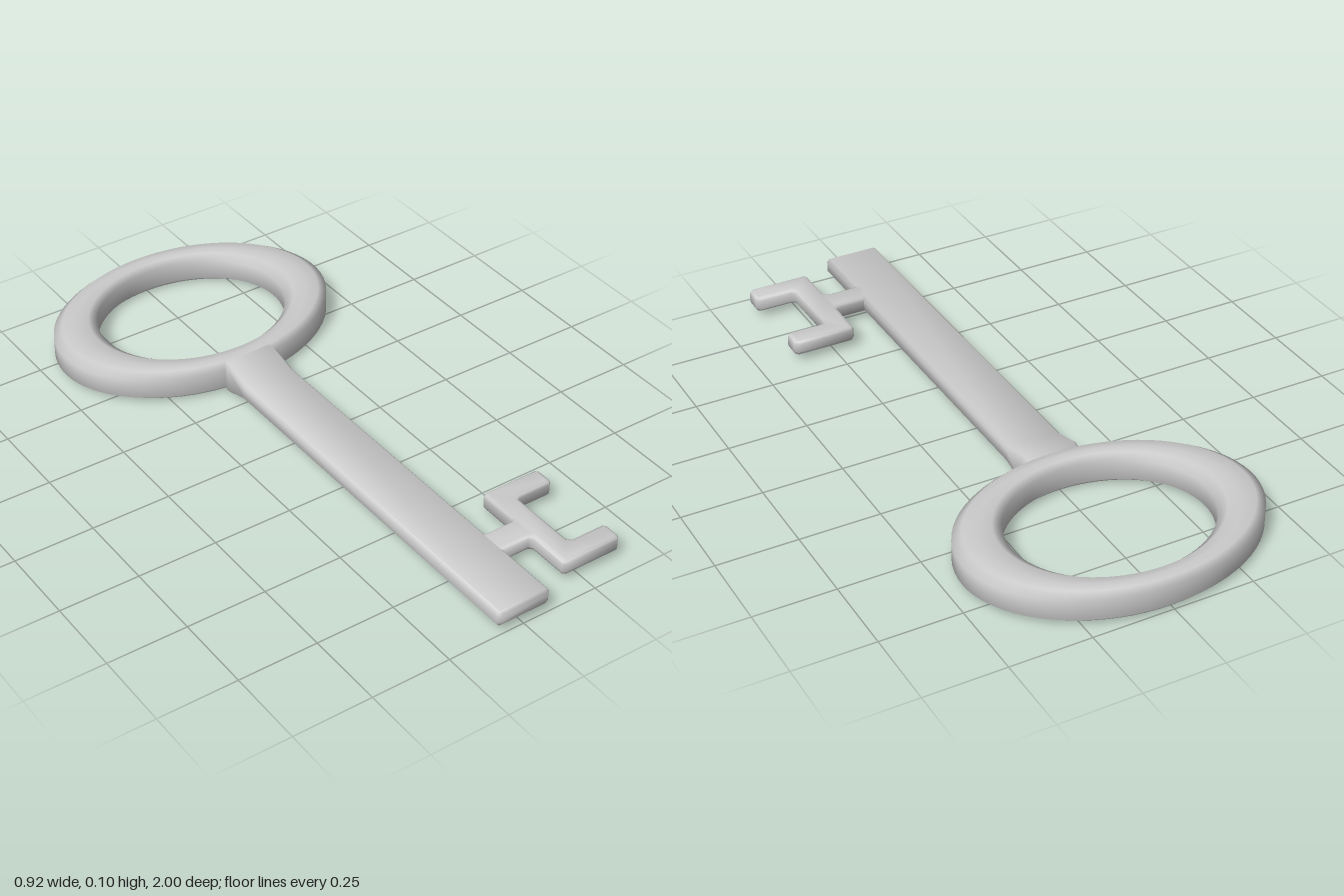
import * as THREE from 'three';
import { toCreasedNormals } from 'three/addons/utils/BufferGeometryUtils.js';

const MID_Y = 0.052;

// Joins equal-length rings of [x, y, z] points into a surface.
function loft(rings, closed) {
  const n = rings[0].length, index = [];
  const spans = closed ? rings.length : rings.length - 1;
  for (let i = 0; i < spans; i++) {
    const next = (i + 1) % rings.length;
    for (let j = 0; j < n; j++) {
      const k = (j + 1) % n;
      const a = i * n + j, b = i * n + k, c = next * n + k, d = next * n + j;
      index.push(a, b, c, a, c, d);
    }
  }
  if (!closed) {
    const last = (rings.length - 1) * n;
    for (let j = 1; j < n - 1; j++) {
      index.push(0, j + 1, j, last, last + j, last + j + 1);
    }
  }
  const g = new THREE.BufferGeometry();
  g.setAttribute('position', new THREE.Float32BufferAttribute(rings.flat(2), 3));
  g.setIndex(index);
  g.computeVertexNormals();
  return g;
}

// Oval ring with a chamfered section that is wider at the sides
function bowGeometry() {
  // [position from inner to outer oval, height]
  const section = [
    [0, 0.083], [0.2, 0.1], [0.5, 0.102], [0.8, 0.1], [1, 0.083],
    [1, 0.019], [0.8, 0.002], [0.5, 0], [0.2, 0.002], [0, 0.019],
  ];
  const rings = [];
  for (let i = 0; i < 72; i++) {
    const a = (-i / 72) * Math.PI * 2;
    rings.push(section.map(([t, y]) => [
      Math.cos(a) * THREE.MathUtils.lerp(0.307, 0.458, t),
      y,
      -0.663 + Math.sin(a) * THREE.MathUtils.lerp(0.258, 0.337, t),
    ]));
  }
  return loft(rings, true);
}

// Flat bar that thickens into the bow through a sloping neck
function shaftGeometry() {
  const b = 0.008;
  // [z, half width, half height]
  const stations = [
    [-0.372, 0.082, 0.046], [-0.32, 0.088, 0.05],
    [-0.23, 0.088, 0.025], [1 - b, 0.088, 0.025], [1, 0.088 - b, 0.025 - b],
  ];
  const rings = stations.map(([z, w, h]) => [
    [w, h - b], [w - b, h], [b - w, h], [-w, h - b],
    [-w, b - h], [b - w, -h], [w - b, -h], [w, b - h],
  ].map(([x, y]) => [x, MID_Y + y, z]));
  return toCreasedNormals(loft(rings, false), 1.1);
}

// Bevelled plate with clipped corners from an outline given as [x, z]
function plateGeometry(outline, height) {
  const b = 0.011, clip = 0.01;
  const corners = outline.map(([x, z]) => new THREE.Vector2(x, z));
  const n = corners.length;
  const toward = (from, to) => from.clone().add(to.clone().sub(from).setLength(clip));
  const shape = new THREE.Shape(corners.flatMap((p, i) => [
    toward(p, corners[(i + n - 1) % n]), toward(p, corners[(i + 1) % n]),
  ]));
  const g = new THREE.ExtrudeGeometry(shape, {
    depth: height - 2 * b, bevelThickness: b, bevelSize: b, bevelOffset: -b, bevelSegments: 2,
  });
  g.rotateX(Math.PI / 2);
  g.translate(0, MID_Y + height / 2 - b, 0);
  return toCreasedNormals(g, 1);
}

export function createModel() {
  const group = new THREE.Group();
  const material = new THREE.MeshStandardMaterial({ color: 0xcccccc });
  const add = (name, geometry) => {
    const mesh = new THREE.Mesh(geometry, material);
    mesh.name = name;
    group.add(mesh);
  };

  add('bow', bowGeometry());
  add('shaft', shaftGeometry());
  // Forked bit with its connecting web
  add('bit', plateGeometry([
    [0.06, 0.714], [0.187, 0.714], [0.187, 0.573], [0.388, 0.573], [0.388, 0.642],
    [0.26, 0.642], [0.26, 0.868], [0.388, 0.868], [0.388, 0.938], [0.187, 0.938],
    [0.187, 0.796], [0.06, 0.796],
  ], 0.05));
  return group;
}
